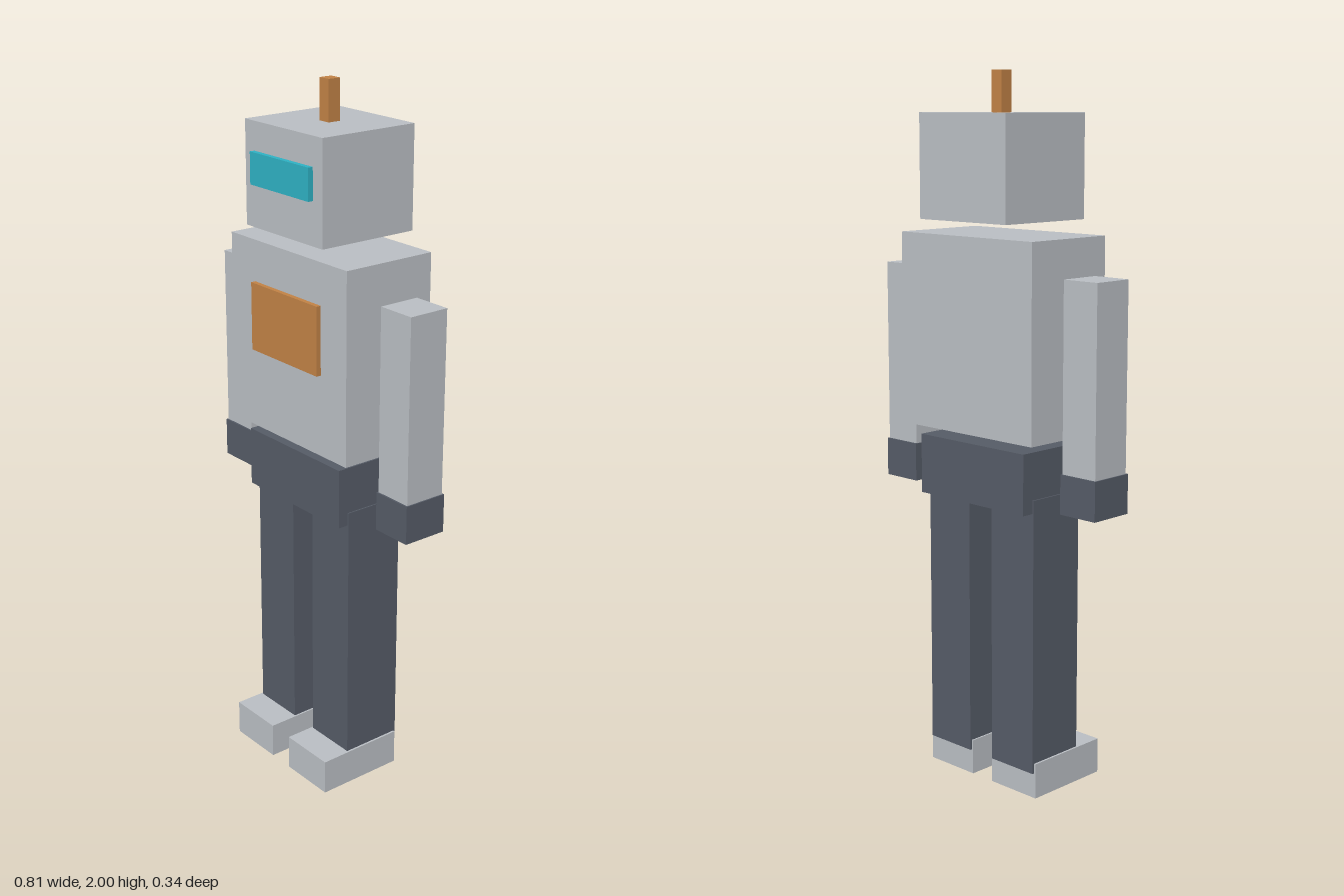
import * as THREE from 'three';

const paint = (name, color) => {
  const material = new THREE.MeshStandardMaterial({ color });
  material.name = name;
  return material;
};

export function createModel() {
  const model = new THREE.Group();
  model.name = 'robot';
  const lightGrey = paint('light grey', 0xb9bdc2);
  const darkGrey = paint('dark grey', 0x555b66);
  const copper = paint('copper', 0xc08145);
  const teal = paint('teal', 0x2eb0c2);

  // Box given by its [min, max] extent on each axis
  const box = (name, material, [x0, x1], [y0, y1], [z0, z1]) => {
    const mesh = new THREE.Mesh(new THREE.BoxGeometry(x1 - x0, y1 - y0, z1 - z0), material);
    mesh.position.set((x0 + x1) / 2, (y0 + y1) / 2, (z0 + z1) / 2);
    mesh.name = name;
    model.add(mesh);
  };

  // The same box on both sides of the body
  const pair = (name, material, [x0, x1], y, z) => {
    box('left' + name, material, [x0, x1], y, z);
    box('right' + name, material, [-x1, -x0], y, z);
  };

  // Head with visor and antenna
  box('head', lightGrey, [-0.163, 0.163], [1.602, 1.888], [-0.168, 0.138]);
  box('visor', teal, [-0.124, 0.124], [1.721, 1.809], [0.13, 0.153]);
  box('antenna', copper, [-0.019, 0.019], [1.88, 2], [-0.036, 0.002]);

  // Torso, chest panel and hips, with open gaps between the blocks
  box('torso', lightGrey, [-0.249, 0.249], [1.023, 1.563], [-0.159, 0.128]);
  box('chestPanel', copper, [-0.143, 0.143], [1.253, 1.446], [0.12, 0.142]);
  box('hips', darkGrey, [-0.2, 0.2], [0.823, 0.993], [-0.138, 0.111]);

  // Arms and hands
  pair('Arm', lightGrey, [0.287, 0.403], [0.94, 1.463], [-0.078, 0.045]);
  pair('Hand', darkGrey, [0.284, 0.407], [0.833, 0.943], [-0.083, 0.05]);

  // Legs and feet; the legs overhang the heels slightly
  pair('Leg', darkGrey, [0.044, 0.204], [0.073, 0.86], [-0.102, 0.08]);
  pair('Foot', lightGrey, [0.039, 0.21], [0, 0.102], [-0.096, 0.167]);

  return model;
}
